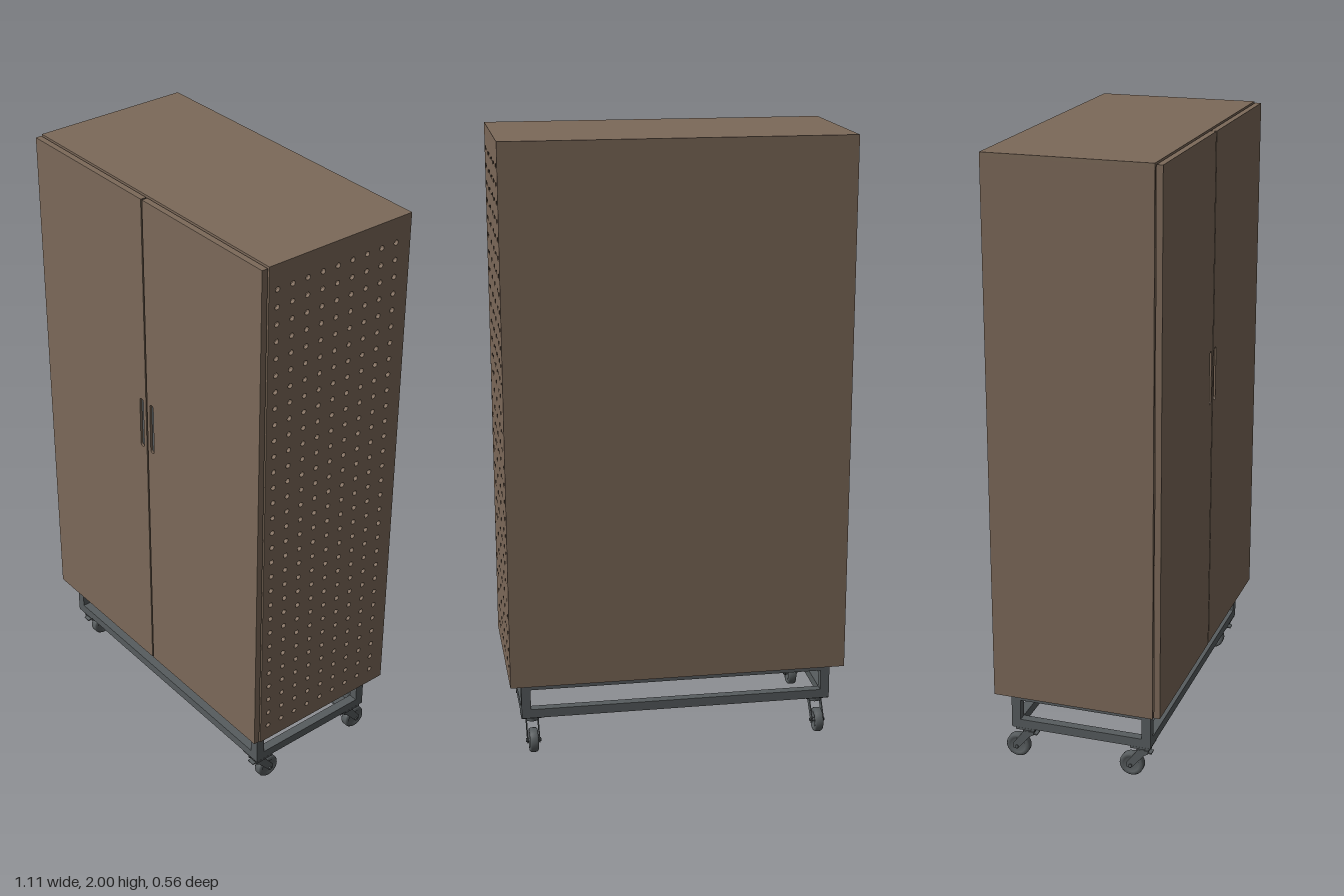
import * as THREE from 'three';

export function createModel() {
  const model = new THREE.Group();
  model.name = 'rollingCabinet';

  const brown = new THREE.MeshStandardMaterial({ color: 0x7c6959 });
  brown.name = 'brownPanel';
  const grey = new THREE.MeshStandardMaterial({ color: 0x575c5e });
  grey.name = 'greyMetal';

  const add = (parent, name, geometry, material, x = 0, y = 0, z = 0) => {
    const mesh = new THREE.Mesh(geometry, material);
    mesh.name = name;
    mesh.position.set(x, y, z);
    parent.add(mesh);
    return mesh;
  };
  const box = (parent, name, material, w, h, d, x, y, z) =>
    add(parent, name, new THREE.BoxGeometry(w, h, d), material, x, y, z);
  const rectangle = (w, h) => new THREE.Shape([
    new THREE.Vector2(-w / 2, -h / 2), new THREE.Vector2(w / 2, -h / 2),
    new THREE.Vector2(w / 2, h / 2), new THREE.Vector2(-w / 2, h / 2),
  ]);
  const slot = (w, h, x, y, path) => {
    const r = w / 2, s = h / 2 - r;
    path.absarc(x, y + s, r, 0, Math.PI, false);
    path.absarc(x, y - s, r, Math.PI, Math.PI * 2, false);
    path.closePath();
    return path;
  };

  // Hollow cabinet body
  const W = 1.106, y0 = 0.25, y1 = 2, H = y1 - y0, yc = (y0 + y1) / 2;
  const zBack = -0.278, zFront = 0.253, D = zFront - zBack, zc = (zBack + zFront) / 2, T = 0.012;
  const body = new THREE.Group();
  body.name = 'cabinetBody';
  model.add(body);
  box(body, 'topPanel', brown, W, T, D, 0, y1 - T / 2, zc);
  box(body, 'bottomPanel', brown, W, T, D, 0, y0 + T / 2, zc);
  box(body, 'backPanel', brown, W, H - 2 * T, T, 0, yc, zBack + T / 2);
  box(body, 'rightSidePanel', brown, T, H - 2 * T, D - T, -W / 2 + T / 2, yc, zc + T / 2);

  // Perforated side panel: 9 columns by 30 rows of round holes
  const side = rectangle(D - T, H - 2 * T);
  const sideZ = zc + T / 2;
  for (let row = 0; row < 30; row++) {
    for (let col = 0; col < 9; col++) {
      const hole = new THREE.Path();
      hole.absarc(sideZ - (col - 4) * 0.0555, 0.308 + row * 0.0556 - yc, 0.0083, 0, Math.PI * 2, true);
      side.holes.push(hole);
    }
  }
  const perforated = add(body, 'perforatedSidePanel',
    new THREE.ExtrudeGeometry(side, { depth: T, bevelEnabled: false, curveSegments: 10 }),
    brown, W / 2 - T, yc, sideZ);
  perforated.rotation.y = Math.PI / 2;

  // Pair of doors, each with a recessed slot handle
  const doorW = 0.548, doorH = 1.742, doorT = 0.02, doorZ = 0.257;
  for (const s of [-1, 1]) {
    const door = new THREE.Group();
    door.name = s > 0 ? 'leftDoor' : 'rightDoor';
    door.position.set(s * (0.003 + doorW / 2), yc, doorZ);
    model.add(door);
    const hx = s * (0.026 - 0.003 - doorW / 2), hy = 1.208 - yc;
    const face = rectangle(doorW, doorH);
    face.holes.push(slot(0.018, 0.18, hx, hy, new THREE.Path()));
    add(door, 'doorPanel',
      new THREE.ExtrudeGeometry(face, { depth: doorT, bevelEnabled: false, curveSegments: 10 }), brown);
    add(door, 'handleRecess',
      new THREE.ExtrudeGeometry(slot(0.018, 0.18, hx, hy, new THREE.Shape()),
        { depth: 0.012, bevelEnabled: false, curveSegments: 10 }), grey);
    box(door, 'doorStiffener', brown, 0.45, doorH - 0.06, 0.004, 0, 0, -0.002);
  }

  // Tubular base frame: two rings joined by corner posts
  const frame = new THREE.Group();
  frame.name = 'baseFrame';
  model.add(frame);
  const fx = 0.515, fz = 0.235, t = 0.03;
  for (const [y, name] of [[0.235, 'upper'], [0.136, 'lower']]) {
    for (const s of [-1, 1]) {
      box(frame, name + 'LongRail', grey, 2 * (fx - t), t, t, 0, y, s * (fz - t / 2));
      box(frame, name + 'ShortRail', grey, t, t, 2 * (fz - t), s * (fx - t / 2), y, 0);
    }
  }
  for (const sx of [-1, 1]) for (const sz of [-1, 1]) {
    box(frame, 'cornerPost', grey, t, 0.129, t, sx * (fx - t / 2), 0.1855, sz * (fz - t / 2));
  }

  // Swivel casters, all trailing backwards
  const forkShape = new THREE.Shape([
    [0.022, 0.1], [-0.012, 0.1], [-0.05, 0.05], [-0.05, 0.034],
    [-0.036, 0.03], [-0.022, 0.046], [0.008, 0.082], [0.022, 0.09],
  ].map(([z, y]) => new THREE.Vector2(-z, y)));
  const wheelProfile = [
    [0.001, -0.009], [0.022, -0.009], [0.026, -0.014], [0.036, -0.014], [0.04, -0.009],
    [0.04, 0.009], [0.036, 0.014], [0.026, 0.014], [0.022, 0.009], [0.001, 0.009],
  ].map(([r, y]) => new THREE.Vector2(r, y));
  for (const x of [-0.478, 0.478]) for (const z of [0.2, -0.19]) {
    const caster = new THREE.Group();
    caster.name = 'caster';
    caster.position.set(x, 0, z);
    model.add(caster);
    box(caster, 'mountingPlate', grey, 0.075, 0.007, 0.065, 0, 0.1175, 0);
    add(caster, 'swivel', new THREE.CylinderGeometry(0.024, 0.022, 0.016, 20), grey, 0, 0.106, 0);
    box(caster, 'forkCrown', grey, 0.044, 0.005, 0.034, 0, 0.0985, 0.005);
    for (const s of [-1, 1]) {
      const fork = add(caster, 'forkArm',
        new THREE.ExtrudeGeometry(forkShape, { depth: 0.003, bevelEnabled: false }),
        grey, s * 0.0195 - 0.0015, 0, 0);
      fork.rotation.y = Math.PI / 2;
    }
    const axle = add(caster, 'axle', new THREE.CylinderGeometry(0.006, 0.006, 0.05, 12), grey, 0, 0.04, -0.037);
    axle.rotation.z = Math.PI / 2;
    const wheel = add(caster, 'wheel', new THREE.LatheGeometry(wheelProfile, 28), grey, 0, 0.04, -0.037);
    wheel.rotation.z = Math.PI / 2;
    box(caster, 'brakePedal', grey, 0.026, 0.004, 0.022, 0, 0.09, 0.02).rotation.x = 0.15;
  }
  return model;
}
